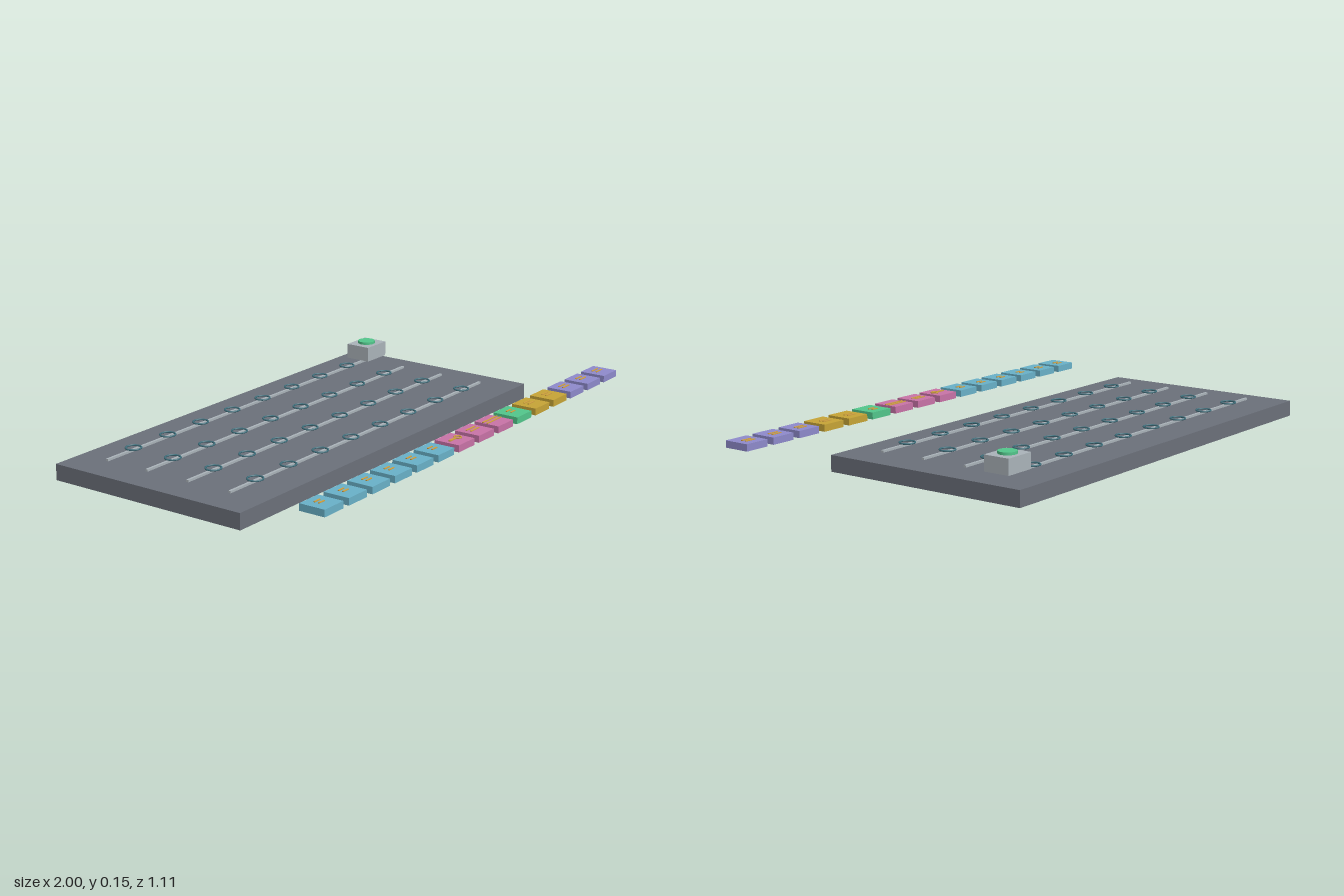
import * as THREE from 'three';

const mat = (name, color) => {
  const m = new THREE.MeshStandardMaterial({ color });
  m.name = name;
  return m;
};

export function createModel() {
  const root = new THREE.Group();
  root.name = 'tileBoard';
  const slate = mat('slate', 0x6b707a), silver = mat('silver', 0xaab3b9);
  const teal = mat('darkTeal', 0x3f6f7c), amber = mat('amber', 0xd0a040);
  const blue = mat('blue', 0x69b1c8), pink = mat('pink', 0xc873a7);
  const green = mat('green', 0x52c68b), gold = mat('gold', 0xc6a436);
  const violet = mat('violet', 0x8e8acb);

  const add = (parent, name, geometry, material, x, y, z) => {
    const mesh = new THREE.Mesh(geometry, material);
    mesh.name = name;
    mesh.position.set(x, y, z);
    parent.add(mesh);
    return mesh;
  };
  const box = (parent, name, material, w, h, d, x, y, z) =>
    add(parent, name, new THREE.BoxGeometry(w, h, d), material, x, y, z);

  // Base slab
  box(root, 'board', slate, 1.777, 0.06, 0.822, -0.111, 0.03, -0.145);

  // Four thin rails, each carrying eight flat rings
  const ringGeo = new THREE.TorusGeometry(0.028, 0.0033, 8, 32).rotateX(Math.PI / 2);
  for (let r = 0; r < 4; r++) {
    const z = -0.42 + r * 0.1833;
    const row = new THREE.Group();
    row.name = 'row';
    root.add(row);
    box(row, 'rail', silver, 1.55, 0.008, 0.01, -0.112, 0.07, z);
    for (let i = 0; i < 8; i++) add(row, 'ring', ringGeo, teal, -0.75 + i * 0.1826, 0.078, z);
  }

  // Push button on its block
  const button = new THREE.Group();
  button.name = 'button';
  root.add(button);
  box(button, 'buttonBlock', silver, 0.122, 0.058, 0.103, 0.665, 0.113, -0.42);
  add(button, 'buttonCap', new THREE.CylinderGeometry(0.034, 0.034, 0.01, 32), green, 0.665, 0.147, -0.42);

  // Front row of coloured tiles with abstract raised marks
  const colours = [
    ...Array(6).fill(blue), ...Array(3).fill(pink), green,
    ...Array(2).fill(gold), ...Array(3).fill(violet),
  ];
  const markWidth = [0.03, 0.03, 0.03, 0.03, 0.03, 0.03, 0.03, 0.055, 0.095, 0.03, 0.04, 0.04, 0.045, 0.045, 0.045];
  const eyeGeo = new THREE.TorusGeometry(0.013, 0.003, 6, 20).rotateX(Math.PI / 2);
  colours.forEach((colour, i) => {
    const tile = new THREE.Group();
    tile.name = 'tile';
    tile.position.set(-0.877 + i * 0.1304, 0, 0.5025);
    root.add(tile);
    box(tile, 'tileBody', colour, 0.1, 0.026, 0.102, 0, 0.1, 0);
    if (i === 6) {
      box(tile, 'markStem', amber, 0.04, 0.004, 0.009, -0.013, 0.115, 0);
      add(tile, 'markEye', eyeGeo, amber, 0.02, 0.115, 0);
    } else {
      for (const dz of [-0.009, 0.009])
        box(tile, 'mark', amber, markWidth[i], 0.003, 0.006, 0, 0.1145, -0.008 + dz);
    }
  });
  return root;
}
